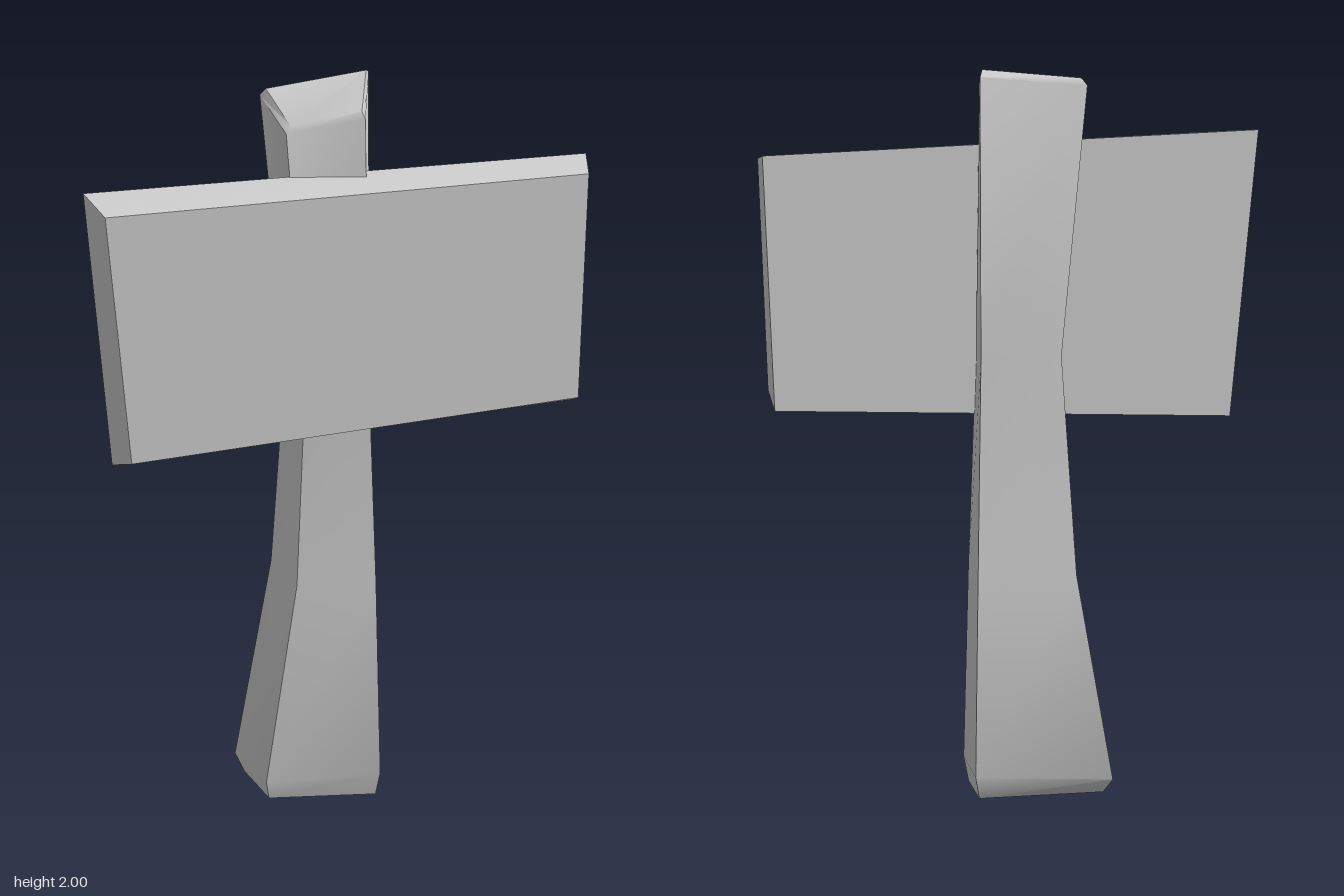
import * as THREE from 'three';
import { toCreasedNormals } from 'three/addons/utils/BufferGeometryUtils.js';

// Skin a stack of four-cornered rings (counter-clockwise seen from the last ring), capped at both ends
function loft(name, rings) {
  const pos = [];
  const quad = (a, b, c, d) => pos.push(...a, ...b, ...c, ...a, ...c, ...d);
  for (let r = 0; r < rings.length - 1; r++) {
    for (let i = 0; i < 4; i++) {
      const j = (i + 1) % 4;
      quad(rings[r][i], rings[r][j], rings[r + 1][j], rings[r + 1][i]);
    }
  }
  const [a, b, c, d] = rings[0];
  quad(d, c, b, a);
  quad(...rings[rings.length - 1]);
  const geometry = new THREE.BufferGeometry();
  geometry.setAttribute('position', new THREE.Float32BufferAttribute(pos, 3));
  const mesh = new THREE.Mesh(
    toCreasedNormals(geometry, 0.8),
    new THREE.MeshStandardMaterial({ color: 0xcccccc })
  );
  mesh.name = name;
  return mesh;
}

export function createModel() {
  const group = new THREE.Group();
  group.name = 'signpost';

  // Post: corners run front -x, front +x, back +x, back -x; pinched waist, slanted top
  group.add(loft('post', [
    [[-0.19, 0, 0.085], [0.1, 0, 0.105], [0.135, 0, -0.165], [-0.215, 0, -0.145]],
    [[-0.2, 0.05, 0.1], [0.11, 0.065, 0.12], [0.155, 0.065, -0.207], [-0.233, 0.04, -0.183]],
    [[-0.11, 0.6, 0.07], [0.105, 0.6, 0.085], [0.14, 0.6, -0.172], [-0.14, 0.6, -0.15]],
    [[-0.08, 1.2, 0.04], [0.09, 1.2, 0.06], [0.125, 1.2, -0.143], [-0.105, 1.2, -0.12]],
    [[-0.135, 1.89, 0.045], [0.08, 1.925, 0.065], [0.13, 1.985, -0.153], [-0.175, 1.945, -0.13]],
    [[-0.122, 1.91, 0.035], [0.072, 1.945, 0.055], [0.117, 2, -0.122], [-0.16, 1.965, -0.122]],
  ]));

  // Board: back outline, then the smaller front outline, swung slightly about the post
  group.add(loft('board', [
    [[-0.62, 0.98, 0.07], [0.665, 1.06, 0], [0.7, 1.765, 0], [-0.7, 1.765, 0.07]],
    [[-0.59, 1.025, 0.2], [0.66, 1.1, 0.1], [0.69, 1.74, 0.097], [-0.665, 1.74, 0.207]],
  ]));

  return group;
}
